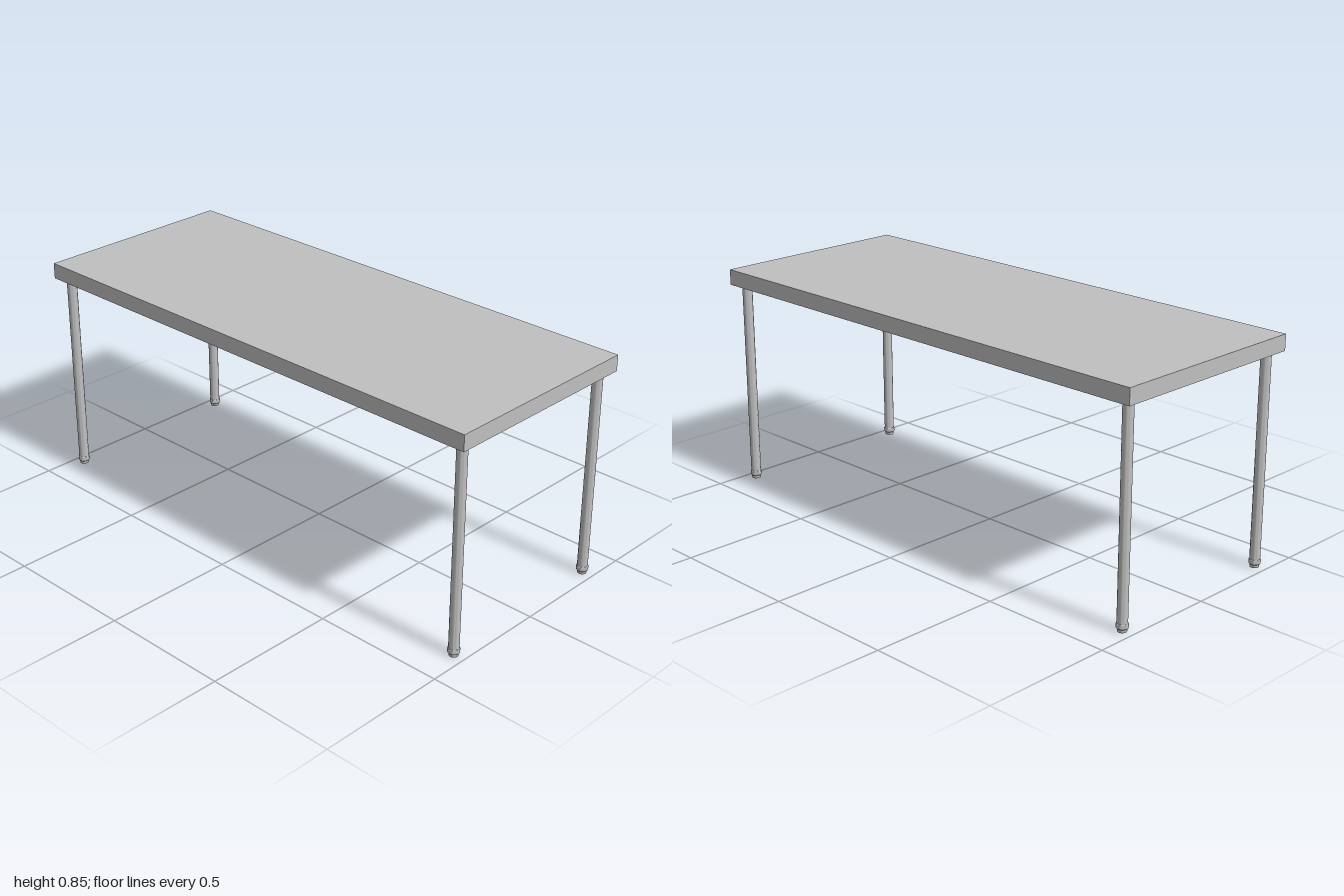
import * as THREE from 'three';
import { toCreasedNormals } from 'three/addons/utils/BufferGeometryUtils.js';

const TOP_Y = 0.85, TOP_THICK = 0.06, UNDER_Y = TOP_Y - TOP_THICK;
const LEG_X = 0.957, LEG_Z = 0.354;

// Turned profile of [radius, height] pairs, with crisp edges
function turned(profile) {
  const points = profile.map(([r, y]) => new THREE.Vector2(r, y));
  return toCreasedNormals(new THREE.LatheGeometry(points, 32), Math.PI / 6);
}

export function createModel() {
  const grey = new THREE.MeshStandardMaterial({ color: 0xbfbfbf });
  grey.name = 'light grey';

  const table = new THREE.Group();
  table.name = 'table';

  const add = (parent, name, geometry) => {
    const mesh = new THREE.Mesh(geometry, grey);
    mesh.name = name;
    parent.add(mesh);
    return mesh;
  };

  // Slab top
  add(table, 'tabletop', new THREE.BoxGeometry(2, TOP_THICK, 0.8))
    .position.y = TOP_Y - TOP_THICK / 2;

  // Round tube, collar at its lower end, and levelling foot
  const tube = turned([[0.019, 0.03], [0.019, UNDER_Y]]);
  const collar = turned([
    [0, 0.012], [0.019, 0.012], [0.0215, 0.015],
    [0.0215, 0.028], [0.0195, 0.031], [0.018, 0.031],
  ]);
  const foot = turned([[0, 0], [0.016, 0], [0.017, 0.002], [0.017, 0.012]]);

  // One leg near each corner
  for (const [xName, sx] of [['left', 1], ['right', -1]]) {
    for (const [zName, sz] of [['Front', 1], ['Back', -1]]) {
      const leg = new THREE.Group();
      leg.name = `${xName}${zName}Leg`;
      add(leg, 'legTube', tube);
      add(leg, 'legCollar', collar);
      add(leg, 'levellingFoot', foot);
      leg.position.set(sx * LEG_X, 0, sz * LEG_Z);
      table.add(leg);
    }
  }
  return table;
}
